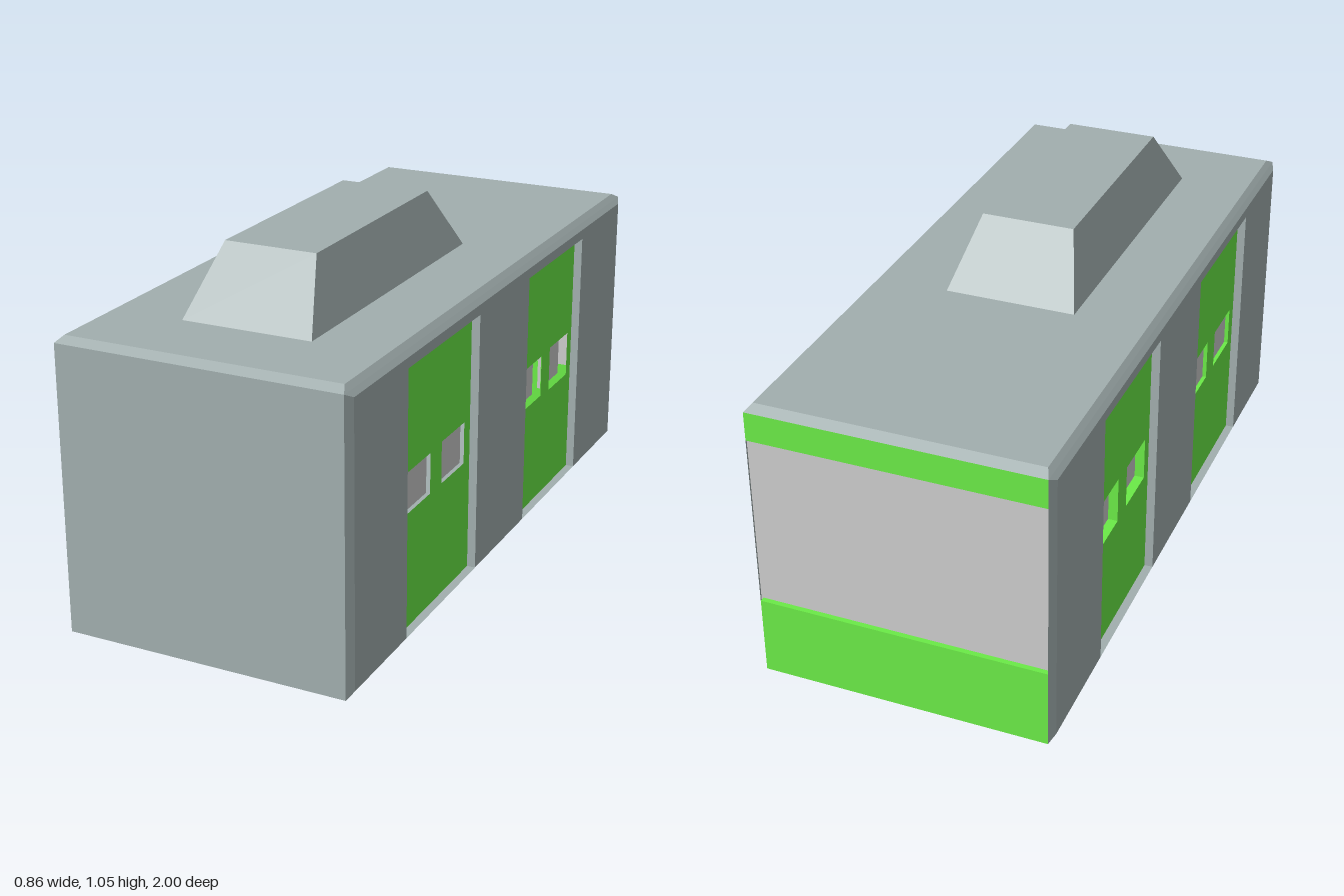
import * as THREE from 'three';
import { ConvexGeometry } from 'three/addons/geometries/ConvexGeometry.js';

const W = 0.43, H = 0.865, L = 1;
const mat = (color, side = THREE.FrontSide) =>
  new THREE.MeshStandardMaterial({ color, flatShading: true, side });
const hullMat = mat(0xa1aeae, THREE.DoubleSide);
const greenMat = mat(0x6beb47);
const greyMat = mat(0xcccccc);

function add(parent, name, geometry, material) {
  const mesh = new THREE.Mesh(geometry, material);
  mesh.name = name;
  parent.add(mesh);
  return mesh;
}

// Rectangle [z0, z1, y0, y1] on the wall of side s, as a shape or hole
function rect(P, s, [z0, z1, y0, y1]) {
  const u0 = -s * z0, u1 = -s * z1;
  return new P([[u0, y0], [u1, y0], [u1, y1], [u0, y1]].map(p => new THREE.Vector2(...p)));
}

// Upright slab on side s whose outer face lies at |x| = outer
function slab(s, area, holes, outer, depth) {
  const shape = rect(THREE.Shape, s, area);
  shape.holes = holes.map(h => rect(THREE.Path, s, h));
  return new THREE.ExtrudeGeometry(shape, { depth, bevelEnabled: false })
    .rotateY(s * Math.PI / 2).translate(s * (outer - depth), 0, 0);
}

// Chamfered box, left open at both sides and at the back
function shellGeometry() {
  const pts = [], h = H / 2;
  for (const x of [-1, 1]) for (const y of [-1, 1]) for (const z of [-1, 1]) {
    pts.push(
      new THREE.Vector3(x * 0.405, h + y * h, z * 0.97),
      new THREE.Vector3(x * W, h + y * (h - 0.03), z * 0.97),
      new THREE.Vector3(x * 0.418, h + y * (h - 0.015), z * L));
  }
  const pos = new ConvexGeometry(pts).getAttribute('position');
  const kept = [], v = [0, 1, 2].map(() => new THREE.Vector3()), n = new THREE.Vector3();
  for (let i = 0; i < pos.count; i += 3) {
    v.forEach((p, k) => p.fromBufferAttribute(pos, i + k));
    THREE.Triangle.getNormal(...v, n);
    if (Math.abs(n.x) > 0.99 || n.z < -0.99) continue;
    v.forEach(p => kept.push(p.x, p.y, p.z));
  }
  const g = new THREE.BufferGeometry();
  g.setAttribute('position', new THREE.Float32BufferAttribute(kept, 3));
  g.computeVertexNormals();
  return g;
}

// Door outlines with their windows and window depth
const doors = [
  { area: [0.19, 0.66, 0.03, 0.805], inset: 0.012,
    windows: [[0.46, 0.62, 0.37, 0.49], [0.23, 0.385, 0.37, 0.495]] },
  { area: [-0.63, -0.18, 0.03, 0.805], inset: 0.028,
    windows: [[-0.37, -0.215, 0.365, 0.495], [-0.595, -0.44, 0.36, 0.5]] },
];

export function createModel() {
  const model = new THREE.Group();
  model.name = 'cabin';
  add(model, 'bodyShell', shellGeometry(), hullMat);

  // Side walls with recessed doors and windows
  const recess = 0.025;
  for (const s of [1, -1]) {
    const side = new THREE.Group();
    side.name = s > 0 ? 'leftSide' : 'rightSide';
    model.add(side);
    add(side, 'sideWall',
      slab(s, [-0.97, 0.97, 0.03, H - 0.03], doors.map(d => d.area), W, recess), hullMat);
    for (const d of doors) {
      add(side, 'door', slab(s, d.area, d.windows, W - recess, d.inset), greenMat);
      for (const w of d.windows)
        add(side, 'doorWindow', slab(s, w, [], W - recess - d.inset, 0.01), greyMat);
    }
  }

  // Back: two flush bands with a sunken screen between them
  for (const [name, y0, y1] of [['lowerBackBand', 0.015, 0.25], ['upperBackBand', 0.765, 0.85]]) {
    add(model, name, new THREE.BoxGeometry(0.836, y1 - y0, 0.016), greenMat)
      .position.set(0, (y0 + y1) / 2, -L + 0.008);
  }
  add(model, 'backScreen', new THREE.BoxGeometry(0.848, 0.53, 0.01), greyMat)
    .position.set(0, 0.5075, -L + 0.02);

  // Roof unit: box tapered towards its top
  const roof = new THREE.BoxGeometry(0.386, 0.19, 0.97);
  const p = roof.getAttribute('position');
  for (let i = 0; i < p.count; i++) {
    if (p.getY(i) > 0) {
      p.setX(i, Math.sign(p.getX(i)) * 0.137);
      p.setZ(i, Math.sign(p.getZ(i)) * 0.347);
    }
  }
  roof.computeVertexNormals();
  add(model, 'roofUnit', roof, hullMat).position.set(0, H + 0.095, 0.252);
  return model;
}
